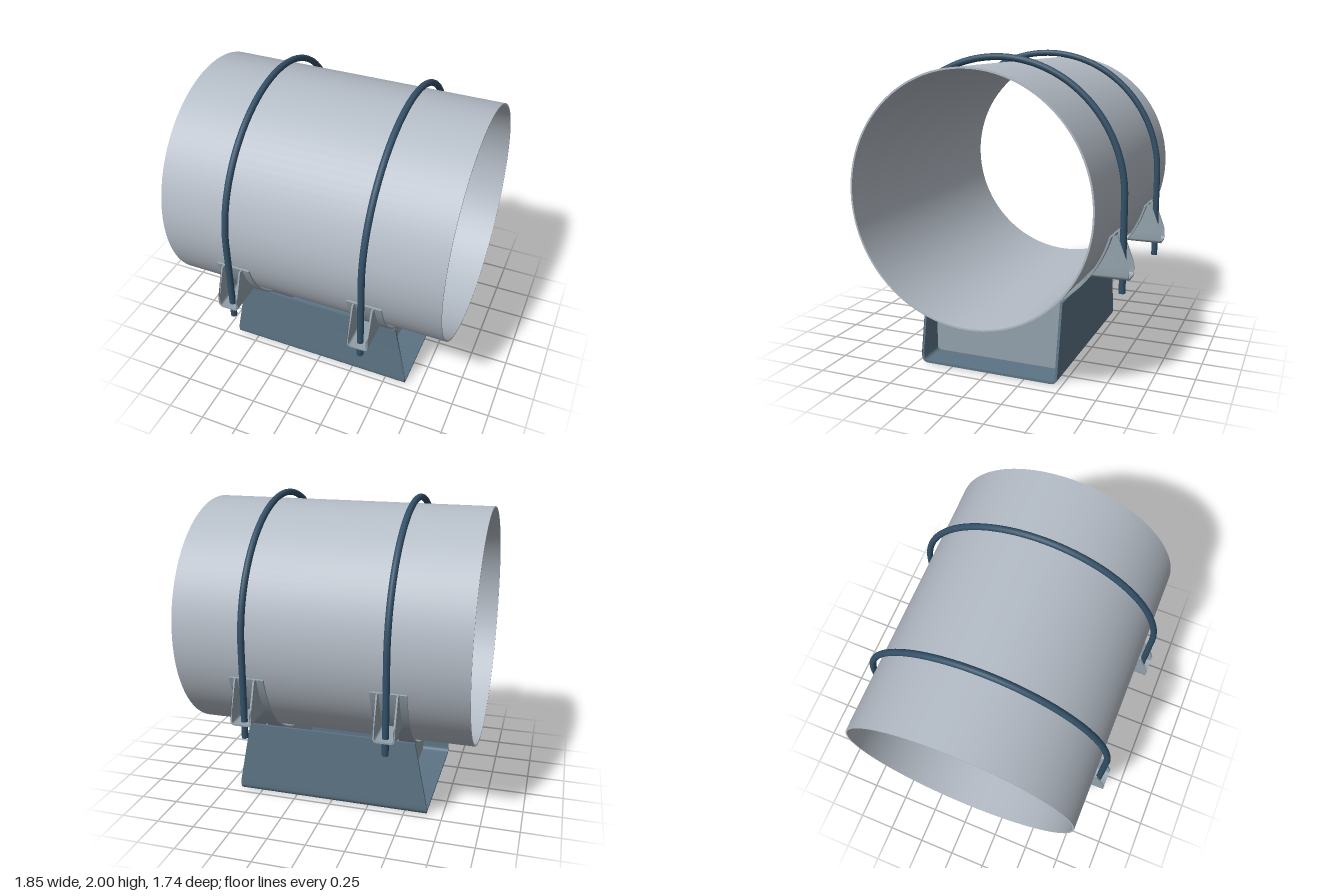
import * as THREE from 'three';
import { toCreasedNormals } from 'three/addons/utils/BufferGeometryUtils.js';

const AXIS_Y = 1.167;    // height of the pipe axis
const BAND_OUTER = 0.797;
const STRAP_X = 0.447;   // distance of each strap from the middle

const paint = (color) => new THREE.MeshStandardMaterial({ color, side: THREE.DoubleSide });
const pipePaint = paint(0xb4bcc6);
const platePaint = paint(0x94a2ac);
const cradlePaint = paint(0x5c7485);
const boltPaint = paint(0x335067);

function addMesh(parent, name, geometry, material) {
  const mesh = new THREE.Mesh(geometry, material);
  mesh.name = name;
  parent.add(mesh);
  return mesh;
}

// Extrudes a z/y cross-section along x, centred on x = 0
function extrudeAlongX(shape, length, curveSegments = 48) {
  const geo = new THREE.ExtrudeGeometry(shape, { depth: length, bevelEnabled: false, curveSegments });
  return geo.translate(0, 0, -length / 2).rotateY(Math.PI / 2);
}

// Closed outline of a U channel with rounded corners; levels are extra heights on the walls
function channelShape(half, bottom, thick, radius, levels) {
  const side = (h, y0, r) => {
    const pts = [];
    for (let i = 0; i <= 6; i++) {
      const a = -Math.PI / 2 + (i / 6) * Math.PI / 2;
      pts.push(new THREE.Vector2(h - r + r * Math.cos(a), y0 + r + r * Math.sin(a)));
    }
    levels.forEach((y) => pts.push(new THREE.Vector2(h, y)));
    return pts;
  };
  const flip = (pts) => pts.map((p) => new THREE.Vector2(-p.x, p.y));
  const outer = side(half, bottom, radius);
  const inner = side(half - thick, bottom + thick, radius - thick);
  return new THREE.Shape([
    ...outer, ...inner.slice().reverse(), ...flip(inner), ...flip(outer).reverse(),
  ]);
}

// Moves each vertex by a rule and rebuilds the normals
function reshape(geo, rule) {
  const pos = geo.attributes.position;
  const v = new THREE.Vector3();
  for (let i = 0; i < pos.count; i++) {
    rule(v.fromBufferAttribute(pos, i));
    pos.setXYZ(i, v.x, v.y, v.z);
  }
  geo.computeVertexNormals();
  return toCreasedNormals(geo, 0.5);
}

function pipeGeometry() {
  const shape = new THREE.Shape().absarc(0, 0, 0.773, 0, Math.PI * 2, false);
  shape.holes.push(new THREE.Path().absarc(0, 0, 0.762, 0, Math.PI * 2, true));
  return toCreasedNormals(extrudeAlongX(shape, 1.85), 0.5);
}

// Curved strip under the pipe
function bandGeometry() {
  const a = Math.asin((0.95 - AXIS_Y) / 0.79);
  const shape = new THREE.Shape()
    .absarc(0, 0, BAND_OUTER, Math.PI - a, Math.PI * 2 + a, false)
    .absarc(0, 0, 0.785, Math.PI * 2 + a, Math.PI - a, true);
  return toCreasedNormals(extrudeAlongX(shape, 0.225), 0.5);
}

// Folded base channel, its ends sloping in towards the top
function cradleGeometry() {
  const geo = extrudeAlongX(channelShape(0.471, 0, 0.016, 0.042, [0.07, 0.505]), 2);
  return reshape(geo, (v) => {
    v.x *= 0.645 - 0.085 * Math.max(0, (v.y - 0.07) / 0.435);
  });
}

// Upright plate inside the cradle, cut to the curve of the band
function webGeometry() {
  const a = Math.atan2(0.513 - AXIS_Y, 0.455);
  const shape = new THREE.Shape();
  shape.moveTo(-0.455, 0.042);
  shape.quadraticCurveTo(-0.455, 0.016, -0.429, 0.016);
  shape.lineTo(0.429, 0.016);
  shape.quadraticCurveTo(0.455, 0.016, 0.455, 0.042);
  shape.absarc(0, AXIS_Y, BAND_OUTER, a, -Math.PI - a, true);
  return toCreasedNormals(extrudeAlongX(shape, 0.014), 0.5);
}

// Small folded bracket between the band (inner side) and its sloping outer edge
function lugGeometry() {
  const levels = [0.755, 0.79, 0.83, 0.87, 0.91, 0.95];
  const geo = new THREE.ExtrudeGeometry(channelShape(0.068, 0.676, 0.011, 0.027, levels),
    { depth: 1, bevelEnabled: false });
  return reshape(geo, (v) => {
    const inner = Math.sqrt(BAND_OUTER ** 2 - (AXIS_Y - v.y) ** 2) - 0.004;
    const outer = 0.868 - 0.073 * Math.max(0, (v.y - 0.755) / 0.195);
    v.z = inner + (outer - inner) * v.z;
  });
}

// Round bar bent over the pipe
function makeUBolt() {
  const bolt = new THREE.Group();
  bolt.name = 'uBolt';
  const bend = new THREE.TorusGeometry(0.813, 0.021, 16, 72, Math.PI).rotateY(Math.PI / 2);
  addMesh(bolt, 'boltBend', bend, boltPaint).position.y = AXIS_Y;
  const length = AXIS_Y - 0.577;
  const leg = new THREE.CylinderGeometry(0.021, 0.021, length, 20);
  for (const s of [1, -1]) {
    addMesh(bolt, 'boltLeg', leg, boltPaint).position.set(0, AXIS_Y - length / 2, s * 0.813);
  }
  return bolt;
}

export function createModel() {
  const model = new THREE.Group();
  model.name = 'pipeSupport';

  addMesh(model, 'pipe', pipeGeometry(), pipePaint).position.y = AXIS_Y;
  addMesh(model, 'cradle', cradleGeometry(), cradlePaint);

  // Two identical strap sets
  const band = bandGeometry(), web = webGeometry(), lug = lugGeometry();
  for (const s of [1, -1]) {
    const strap = new THREE.Group();
    strap.name = s > 0 ? 'leftStrap' : 'rightStrap';
    strap.position.x = s * STRAP_X;
    addMesh(strap, 'saddleBand', band, platePaint).position.y = AXIS_Y;
    addMesh(strap, 'webPlate', web, platePaint);
    addMesh(strap, 'frontLug', lug, platePaint);
    addMesh(strap, 'backLug', lug, platePaint).rotation.y = Math.PI;
    strap.add(makeUBolt());
    model.add(strap);
  }
  return model;
}
